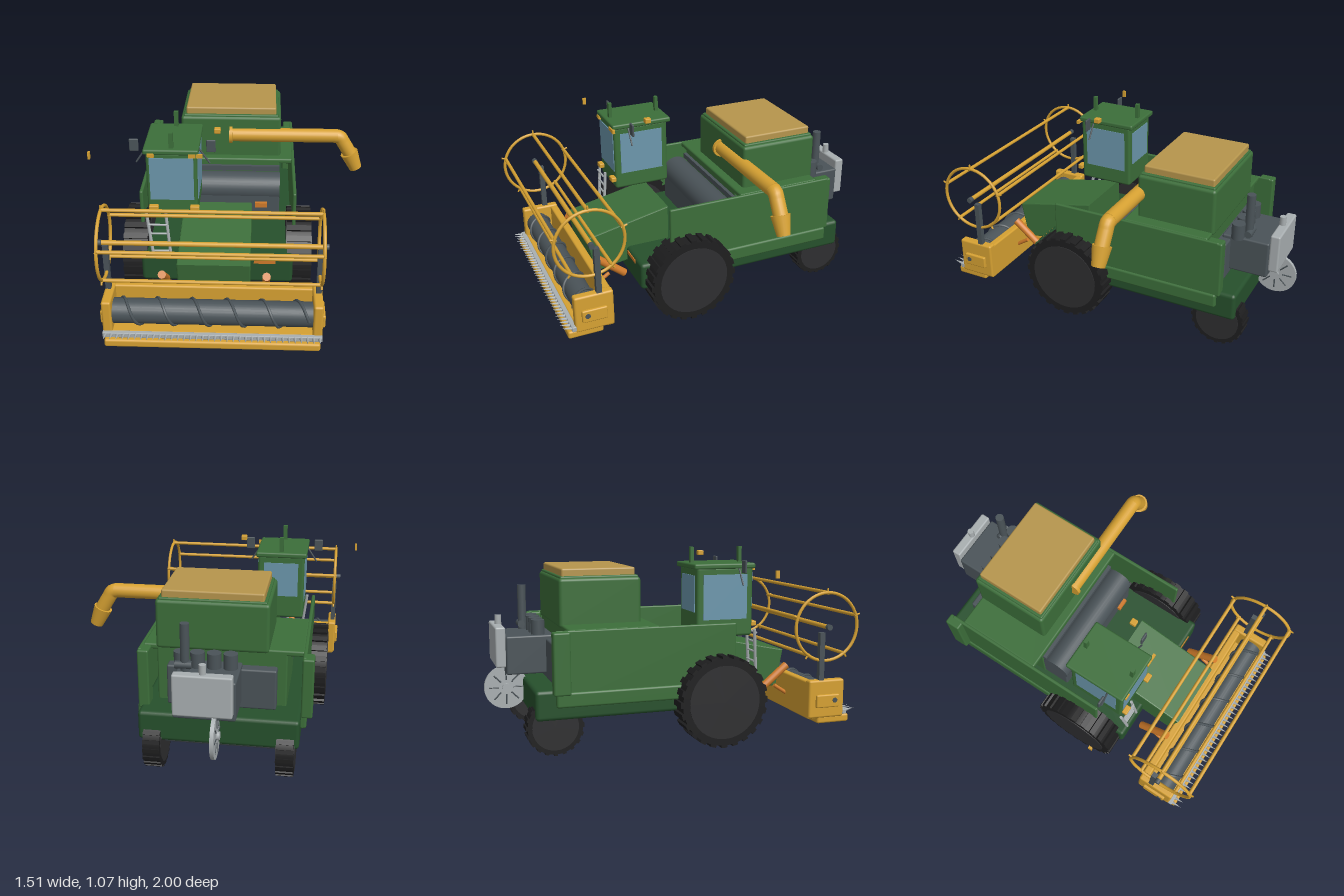
import * as THREE from 'three';
import { RoundedBoxGeometry } from 'three/addons/geometries/RoundedBoxGeometry.js';

const paint = (name, color) => Object.assign(new THREE.MeshStandardMaterial({ color }), { name });

export function createModel() {
  const model = new THREE.Group();
  model.name = 'combineHarvester';
  const green = paint('body green', 0x3c6e3a), darkGreen = paint('chassis green', 0x26502c);
  const yellow = paint('header yellow', 0xd6a132), tan = paint('lid tan', 0xb6954c);
  const orange = paint('orange', 0xcf7a2a), grey = paint('machine grey', 0x4a5358);
  const silver = paint('silver', 0xa9afb1), glass = paint('glass blue', 0x6c97ac);
  const tyre = paint('tyre black', 0x1e1e1f), hub = paint('hub charcoal', 0x2e2e30);

  const add = (name, geo, mat, parent = model) => {
    const m = new THREE.Mesh(geo, mat);
    m.name = name;
    parent.add(m);
    return m;
  };
  // Box given by its x, y and z ranges; r rounds the edges
  const box = (name, mat, [x0, x1], [y0, y1], [z0, z1], r = 0, parent = model) => {
    const s = [x1 - x0, y1 - y0, z1 - z0];
    const m = add(name, r ? new RoundedBoxGeometry(...s, 2, r) : new THREE.BoxGeometry(...s), mat, parent);
    m.position.set((x0 + x1) / 2, (y0 + y1) / 2, (z0 + z1) / 2);
    return m;
  };
  // Round bar between two points, optionally tapered
  const rod = (name, mat, a, b, r, r2 = r, sides = 16, parent = model) => {
    const p = new THREE.Vector3(...a), q = new THREE.Vector3(...b), d = q.clone().sub(p);
    const m = add(name, new THREE.CylinderGeometry(r2, r, d.length(), sides), mat, parent);
    m.position.copy(p).add(q).multiplyScalar(0.5);
    m.quaternion.setFromUnitVectors(new THREE.Vector3(0, 1, 0), d.normalize());
    return m;
  };
  const C = -0.085; // centre line of the machine

  // Chassis and body
  box('chassis', darkGreen, [-0.5, 0.335], [0.2, 0.36], [-0.785, 0.48], 0.02);
  box('bodyCore', green, [-0.42, 0.262], [0.3, 0.66], [-0.61, -0.12], 0.01);
  box('deck', green, [-0.505, 0.335], [0.64, 0.67], [-0.61, -0.12], 0.01);
  for (const s of [-1, 1]) {
    const x = C + s * 0.424;
    box('sidePanel', green, [x - 0.01, x + 0.01], [0.27, 0.668], [-0.68, 0.31], 0.008);
    box('sidePanelFoot', green, [x - 0.02, x + 0.02], [0.27, 0.35], [-0.68, 0.31], 0.012);
    box('rearCorner', green, [x - 0.05, x + 0.01], [0.34, 0.665], [-0.7, -0.61], 0.01);
  }
  box('threshingHousing', grey, [-0.415, 0.262], [0.36, 0.55], [-0.14, 0.035], 0.01);
  rod('threshingDrum', grey, [-0.415, 0.53, -0.045], [0.262, 0.53, -0.045], 0.085, 0.085, 32);
  box('drumLedge', grey, [-0.415, 0.262], [0.6, 0.63], [-0.13, -0.1]);
  box('strawOutlet', grey, [-0.37, 0.2], [0.36, 0.58], [-0.67, -0.6], 0.01);

  // Grain tank and lid
  box('grainTank', green, [-0.325, 0.265], [0.65, 0.915], [-0.62, -0.17], 0.018);
  box('tankRim', green, [-0.31, 0.25], [0.9, 0.925], [-0.61, -0.18], 0.008);
  box('tankLid', tan, [-0.295, 0.235], [0.915, 0.965], [-0.6, -0.195], 0.01);

  // Unloading auger with elbow and spout
  rod('unloadTube', yellow, [-0.03, 0.803, -0.175], [0.6, 0.803, -0.175], 0.041, 0.041, 24);
  rod('unloadFlange', yellow, [-0.04, 0.803, -0.175], [-0.022, 0.803, -0.175], 0.053, 0.053, 24);
  const bend = new THREE.CatmullRomCurve3([[0.58, 0.803], [0.615, 0.795], [0.635, 0.765], [0.69, 0.675]]
    .map(([x, y]) => new THREE.Vector3(x, y, -0.175)));
  add('unloadElbow', new THREE.TubeGeometry(bend, 20, 0.041, 20), yellow);
  rod('unloadSpout', yellow, [0.675, 0.695, -0.175], [0.72, 0.595, -0.175], 0.053, 0.037, 20);

  // Cab
  box('cab', green, [-0.455, -0.185], [0.585, 0.965], [0.105, 0.43], 0.015);
  box('cabRoof', green, [-0.468, -0.175], [0.955, 0.985], [0.085, 0.44], 0.01);
  box('frontWindow', glass, [-0.437, -0.203], [0.69, 0.935], [0.429, 0.434]);
  box('rearWindow', glass, [-0.42, -0.22], [0.72, 0.92], [0.101, 0.106]);
  for (const x of [-0.455, -0.185]) box('sideWindow', glass, [x - 0.003, x + 0.003], [0.68, 0.925], [0.14, 0.395]);
  for (const z of [0.12, 0.405]) box('antenna', green, [-0.332, -0.308], [0.98, 1.07], [z - 0.01, z + 0.01]);
  for (const x of [-0.425, -0.21, -0.172]) box('roofLight', yellow, [x - 0.018, x + 0.018], [0.945, 0.965], [0.432, 0.447]);
  for (const x of [-0.42, -0.2]) box('headLight', yellow, [x - 0.025, x + 0.025], [0.635, 0.663], [0.43, 0.46], 0.005);
  box('beacon', yellow, [-0.102, -0.068], [1.01, 1.037], [0.245, 0.28], 0.004);
  box('markerLight', yellow, [-0.756, -0.744], [0.925, 0.965], [0.42, 0.44]);
  for (const s of [-1, 1]) {
    const c = -0.32;
    rod('mirrorArm', grey, [c + s * 0.14, 0.955, 0.345], [c + s * 0.197, 0.87, 0.345], 0.005, 0.005, 8);
    box('mirror', grey, [c + s * 0.205 - 0.025, c + s * 0.205 + 0.025], [0.935, 1.005], [0.34, 0.352], 0.005);
  }

  // Ladder
  for (const [a, b] of [[-0.465, -0.43], [-0.36, -0.335]])
    rod('ladderRail', silver, [a, 0.62, 0.44], [b, 0.34, 0.47], 0.009, 0.009, 8);
  for (let i = 0; i < 5; i++) {
    const y = 0.38 + i * 0.055, x = -0.435 - i * 0.006;
    rod('ladderRung', silver, [x, y, 0.455], [x + 0.1, y, 0.455], 0.006, 0.006, 8);
  }

  // Feeder house, a tapering wedge
  const side = new THREE.Shape([[-0.705, 0.455], [-0.23, 0.555], [-0.23, 0.32], [-0.665, 0.25]].map(p => new THREE.Vector2(...p)));
  const feeder = add('feederHouse', new THREE.ExtrudeGeometry(side,
    { depth: 0.37, bevelSize: 0.007, bevelThickness: 0.007, bevelSegments: 2 }), green);
  feeder.rotation.y = Math.PI / 2;
  feeder.position.x = -0.273;
  box('frontReflector', orange, [0.12, 0.19], [0.44, 0.468], [0.04, 0.06]);
  box('chassisReflector', orange, [0.12, 0.24], [0.325, 0.345], [0.475, 0.484]);

  // Lift rams
  for (const x of [-0.36, 0.19]) {
    rod('liftRam', orange, [x, 0.25, 0.53], [x, 0.385, 0.695], 0.022);
    rod('liftPiston', orange, [x, 0.27, 0.62], [x, 0.205, 0.72], 0.011);
  }

  // Header trough and dividers
  box('headerBack', yellow, [-0.645, 0.475], [0.13, 0.34], [0.69, 0.735], 0.01);
  box('headerFloor', yellow, [-0.64, 0.47], [0.1, 0.145], [0.75, 0.945], 0.012);
  box('headerBed', yellow, [-0.64, 0.47], [0.13, 0.17], [0.7, 0.9], 0.008);
  for (const s of [-1, 1]) {
    const x = C + s * 0.54, o = C + s * 0.568;
    box('headerEnd', yellow, [x - 0.025, x + 0.025], [0.135, 0.348], [0.69, 0.905], 0.012);
    box('endCover', yellow, [o - 0.012, o + 0.012], [0.195, 0.268], [0.73, 0.87], 0.008);
    rod('augerCap', grey, [o, 0.235, 0.84], [o + s * 0.015, 0.235, 0.84], 0.014);
  }

  // Feed auger with its spiral flight
  rod('feedAuger', grey, [-0.605, 0.247, 0.825], [0.435, 0.247, 0.825], 0.066, 0.066, 28);
  const spiral = new THREE.CatmullRomCurve3(Array.from({ length: 81 }, (_, i) => {
    const a = (i / 80) * Math.PI * 11;
    return new THREE.Vector3(-0.58 + i / 80 * 0.99, 0.247 + Math.sin(a) * 0.069, 0.825 - Math.cos(a) * 0.069);
  }));
  add('augerFlight', new THREE.TubeGeometry(spiral, 240, 0.008, 6), grey);

  // Cutter bar and fingers
  box('cutterBar', silver, [-0.65, 0.48], [0.147, 0.175], [0.9, 0.925], 0.004);
  for (let i = 0; i < 36; i++) {
    const x = -0.635 + i * 1.1 / 35;
    const f = add('cutterFinger', new THREE.ConeGeometry(0.011, 0.065, 6), silver);
    f.position.set(x, 0.17, 0.946);
    f.rotation.x = Math.PI / 2 - 0.2;
  }

  // Reel
  const Y = 0.64, Z = 0.795, R = 0.187;
  rod('reelAxle', yellow, [-0.64, Y, Z], [0.47, Y, Z], 0.013);
  for (const s of [-1, 1]) {
    const x = C + s * 0.545;
    const ring = add('reelRing', new THREE.TorusGeometry(R, 0.009, 8, 48), yellow);
    ring.position.set(x, Y, Z);
    ring.rotation.y = Math.PI / 2;
    rod('reelBearing', grey, [x + s * 0.012, Y, Z], [x + s * 0.036, Y, Z], 0.016);
    box('reelPost', grey, [x - 0.014, x + 0.014], [0.34, 0.61], [0.75, 0.78]);
  }
  for (let i = 0; i < 5; i++) {
    const a = Math.PI / 2 + i * Math.PI * 0.4, y = Math.sin(a), z = Math.cos(a);
    rod('reelBat', yellow, [-0.635, Y + y * R, Z + z * R], [0.465, Y + y * R, Z + z * R], 0.01, 0.01, 10);
    for (const x of [-0.63, 0.46])
      rod('reelNub', yellow, [x, Y + y * (R - 0.01), Z + z * (R - 0.01)], [x, Y + y * 0.212, Z + z * 0.212], 0.007, 0.005, 8);
  }

  // Wheels with chunky lugs
  const wheel = (name, x, y, z, r, w, lugs) => {
    const g = new THREE.Group();
    g.name = name;
    g.position.set(x, y, z);
    model.add(g);
    rod('tyre', tyre, [-w / 2, 0, 0], [w / 2, 0, 0], r * 0.95, r * 0.95, 40, g);
    rod('hub', hub, [-w / 2 - 0.004, 0, 0], [w / 2 + 0.004, 0, 0], r * 0.8, r * 0.8, 36, g);
    for (let i = 0; i < lugs; i++) {
      const a = i / lugs * Math.PI * 2;
      const lug = add('lug', new THREE.BoxGeometry(w, r * 0.1, r * 0.13), tyre, g);
      lug.position.set(0, Math.cos(a) * r * 0.95, Math.sin(a) * r * 0.95);
      lug.rotation.x = a;
    }
  };
  for (const s of [-1, 1]) {
    wheel('frontWheel', C + s * 0.455, 0.255, 0.21, 0.25, 0.135, 24);
    wheel('rearWheel', C + s * 0.345, 0.16, -0.68, 0.153, 0.09, 20);
  }
  rod('frontAxle', grey, [-0.5, 0.255, 0.21], [0.33, 0.255, 0.21], 0.04);
  rod('rearAxle', grey, [-0.42, 0.17, -0.68], [0.25, 0.17, -0.68], 0.025);
  box('bellyPlate', grey, [-0.25, 0.08], [0.19, 0.21], [-0.49, -0.33]);

  // Engine, cylinders, exhaust and radiator
  box('engine', grey, [-0.19, 0.13], [0.39, 0.6], [-0.885, -0.62], 0.01);
  for (let i = 0; i < 4; i++) {
    const x = -0.14 + i * 0.085;
    rod('engineCylinder', grey, [x, 0.59, -0.705], [x, 0.68, -0.705], 0.037, 0.037, 20);
  }
  rod('exhaustPipe', grey, [0.085, 0.59, -0.755], [0.085, 0.85, -0.755], 0.024);
  rod('exhaustLink', grey, [0.05, 0.63, -0.765], [0.135, 0.63, -0.765], 0.02);
  box('radiator', silver, [-0.18, 0.12], [0.43, 0.65], [-0.94, -0.885], 0.01);
  rod('radiatorCap', silver, [-0.03, 0.64, -0.905], [-0.03, 0.7, -0.905], 0.018);

  // Straw chopper disc with blades
  rod('chopperDisc', silver, [C - 0.01, 0.305, -0.878], [C + 0.01, 0.305, -0.878], 0.12, 0.12, 36);
  rod('chopperHub', silver, [C - 0.025, 0.305, -0.878], [C + 0.025, 0.305, -0.878], 0.022);
  for (let i = 0; i < 8; i++) {
    const a = i * Math.PI / 4, y = Math.sin(a), z = Math.cos(a);
    for (const s of [-1, 1])
      rod('chopperBlade', grey, [C + s * 0.01, 0.305 + y * 0.04, -0.878 + z * 0.04],
        [C + s * 0.01, 0.305 + y * 0.095, -0.878 + z * 0.095], 0.004, 0.004, 6);
  }
  return model;
}
